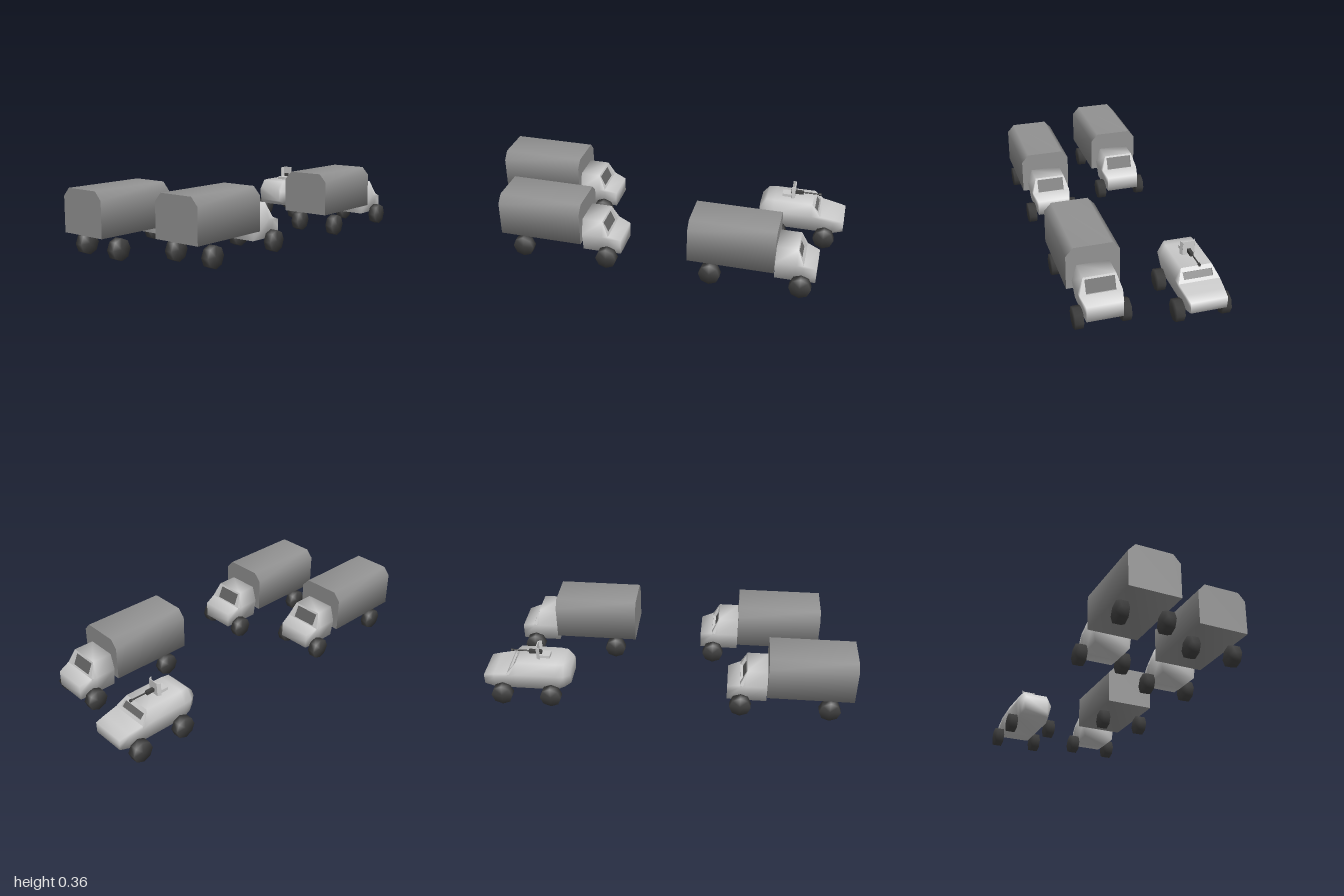
import * as THREE from 'three';
import { mergeVertices } from 'three/addons/utils/BufferGeometryUtils.js';

const paint = new THREE.MeshStandardMaterial({ color: 0xcccccc, side: THREE.DoubleSide });
const panel = new THREE.MeshStandardMaterial({ color: 0xcccccc, flatShading: true, side: THREE.DoubleSide });
const canvas = new THREE.MeshStandardMaterial({ color: 0x929292, side: THREE.DoubleSide });
const glass = new THREE.MeshStandardMaterial({ color: 0x666666, side: THREE.DoubleSide });
const rubber = new THREE.MeshStandardMaterial({ color: 0x404040 });
const metal = new THREE.MeshStandardMaterial({ color: 0x404040, flatShading: true });

function add(parent, name, geometry, material, x = 0, y = 0, z = 0) {
  const mesh = new THREE.Mesh(geometry, material);
  mesh.name = name;
  mesh.position.set(x, y, z);
  parent.add(mesh);
  return mesh;
}

const points = list => list.map(p => new THREE.Vector2(...p));

// Shares all corners so that shading runs smoothly over the edges
function smooth(geometry) {
  geometry.deleteAttribute('normal');
  geometry.deleteAttribute('uv');
  const merged = mergeVertices(geometry);
  merged.computeVertexNormals();
  return merged;
}

// Hull from six-cornered sections along x: [x, bottom y, half width, middle y, half width, top y, half width].
// The top face of segment openTop is left out for a windscreen frame; sharpEnds keeps the end faces crisp.
function hull(sections, { openTop = -1, sharpEnds = false } = {}) {
  const pos = sections.flatMap(([x, yb, hb, ym, hm, yt, ht]) =>
    [x, yb, hb, x, ym, hm, x, yt, ht, x, yt, -ht, x, ym, -hm, x, yb, -hb]);
  const index = [];
  const last = (sections.length - 1) * 6;
  for (let r = 0; r < last; r += 6) {
    for (let j = 0; j < 6; j++) {
      if (r === openTop * 6 && j === 2) continue;
      const k = (j + 1) % 6;
      index.push(r + j, r + 6 + j, r + 6 + k, r + j, r + 6 + k, r + k);
    }
  }
  let [back, front] = [0, last];
  if (sharpEnds) {
    [back, front] = [last + 6, last + 12];
    pos.push(...pos.slice(0, 18), ...pos.slice(last * 3, last * 3 + 18));
  }
  for (let j = 1; j < 5; j++) index.push(back, back + j, back + j + 1, front, front + j + 1, front + j);
  const geometry = new THREE.BufferGeometry();
  geometry.setAttribute('position', new THREE.Float32BufferAttribute(pos, 3));
  geometry.setIndex(index);
  geometry.computeVertexNormals();
  return geometry;
}

// Sloping frame with a recessed pane, filling the open top between two sections
function windscreen(parent, upper, lower, halfWidth, from, to, depth) {
  const [x0, y0, h0] = [upper[0], upper[5], upper[6]];
  const [x1, y1, h1] = [lower[0], lower[5], lower[6]];
  const L = Math.hypot(x0 - x1, y0 - y1);
  const [v0, v1] = [from * L, to * L];
  const shape = new THREE.Shape(points([[-h1, 0], [h1, 0], [h0, L], [-h0, L]]));
  shape.holes.push(new THREE.Path(points([[-halfWidth, v0], [-halfWidth, v1], [halfWidth, v1], [halfWidth, v0]])));
  const v = new THREE.Vector3((x0 - x1) / L, (y0 - y1) / L, 0);
  const n = new THREE.Vector3(v.y, -v.x, 0);
  const group = new THREE.Group();
  group.name = 'windscreen';
  group.quaternion.setFromRotationMatrix(new THREE.Matrix4().makeBasis(new THREE.Vector3(0, 0, -1), v, n));
  group.position.set(x1, y1, 0);
  parent.add(group);
  add(group, 'windscreenFrame', new THREE.ExtrudeGeometry(shape, { depth, bevelEnabled: false }), panel, 0, 0, -depth);
  add(group, 'windscreenPane', new THREE.PlaneGeometry(halfWidth * 2, v1 - v0), glass, 0, (v0 + v1) / 2, -depth * 0.9);
}

// Eight-sided wheels in mirrored pairs
function wheels(parent, positions) {
  const geometry = smooth(new THREE.CylinderGeometry(0.058, 0.058, 0.043, 8).rotateX(Math.PI / 2));
  for (const x of positions)
    for (const side of [1, -1]) add(parent, 'wheel', geometry, rubber, x, 0.058, side * 0.12);
}

function createTruck() {
  const truck = new THREE.Group();
  truck.name = 'truck';
  const section = [0.13, 0.1375, 0.316, 0.1375, 0.359, 0.0985];
  add(truck, 'cargoCanopy', hull([[0, ...section], [0.46, ...section]], { sharpEnds: true }), canvas);
  const cab = [
    [0.46, 0.073, 0.094, 0.175, 0.108, 0.26, 0.083],
    [0.572, 0.073, 0.094, 0.175, 0.108, 0.26, 0.083],
    [0.607, 0.073, 0.094, 0.165, 0.108, 0.182, 0.107],
    [0.674, 0.075, 0.0925, 0.12, 0.0925, 0.159, 0.0925],
  ];
  add(truck, 'cab', hull(cab, { openTop: 1 }), paint);
  windscreen(truck, cab[1], cab[2], 0.075, 0.02, 0.87, 0.018);
  wheels(truck, [0.122, 0.6]);
  return truck;
}

function createArmouredCar() {
  const car = new THREE.Group();
  car.name = 'armouredCar';
  const sections = [
    [0, 0.118, 0.07, 0.175, 0.08, 0.2, 0.066],
    [0.035, 0.1, 0.088, 0.178, 0.106, 0.238, 0.074],
    [0.08, 0.08, 0.092, 0.178, 0.1085, 0.24, 0.08],
    [0.295, 0.08, 0.092, 0.178, 0.1085, 0.24, 0.08],
    [0.345, 0.08, 0.092, 0.165, 0.1085, 0.182, 0.107],
    [0.42, 0.08, 0.092, 0.15, 0.1, 0.17, 0.1],
    [0.476, 0.1, 0.092, 0.13, 0.094, 0.159, 0.094],
  ];
  add(car, 'hull', hull(sections, { openTop: 3 }), paint);
  windscreen(car, sections[3], sections[4], 0.076, 0.22, 0.7, 0.012);
  wheels(car, [0.108, 0.376]);

  // Roof gun behind a folded shield
  const gun = new THREE.Group();
  gun.name = 'roofGun';
  gun.position.set(0.185, 0.24, 0);
  car.add(gun);
  add(gun, 'hatch', new THREE.BoxGeometry(0.065, 0.016, 0.05), panel, -0.034, 0.008);
  const plate = new THREE.Shape(points([[-0.031, 0], [0.031, 0], [0.031, 0.05], [0.028, 0.074], [-0.028, 0.074], [-0.031, 0.05]]));
  const plateGeometry = new THREE.ExtrudeGeometry(plate, { depth: 0.005, bevelEnabled: false }).rotateY(Math.PI / 2);
  add(gun, 'shield', plateGeometry, panel);
  for (const side of [1, -1]) {
    const wing = add(gun, 'shieldWing', new THREE.BoxGeometry(0.02, 0.072, 0.004), panel, -0.006, 0.036, side * 0.034);
    wing.rotation.y = side * 0.45;
  }
  add(gun, 'gunReceiver', new THREE.BoxGeometry(0.07, 0.018, 0.018), metal, 0.015, 0.025);
  add(gun, 'gunBarrel', new THREE.CylinderGeometry(0.004, 0.004, 0.1, 6).rotateZ(Math.PI / 2), metal, 0.098, 0.027);
  add(gun, 'muzzle', new THREE.CylinderGeometry(0.008, 0.008, 0.012, 6).rotateZ(Math.PI / 2), metal, 0.143, 0.027);
  return car;
}

export function createModel() {
  const convoy = new THREE.Group();
  convoy.name = 'convoy';
  for (const [x, z] of [[-1, -0.2275], [-0.83, 0.2425], [0.22, 0.2425]]) {
    const truck = createTruck();
    truck.position.set(x, 0, z);
    convoy.add(truck);
  }
  const car = createArmouredCar();
  car.position.set(0.522, 0, -0.2405);
  convoy.add(car);
  return convoy;
}
